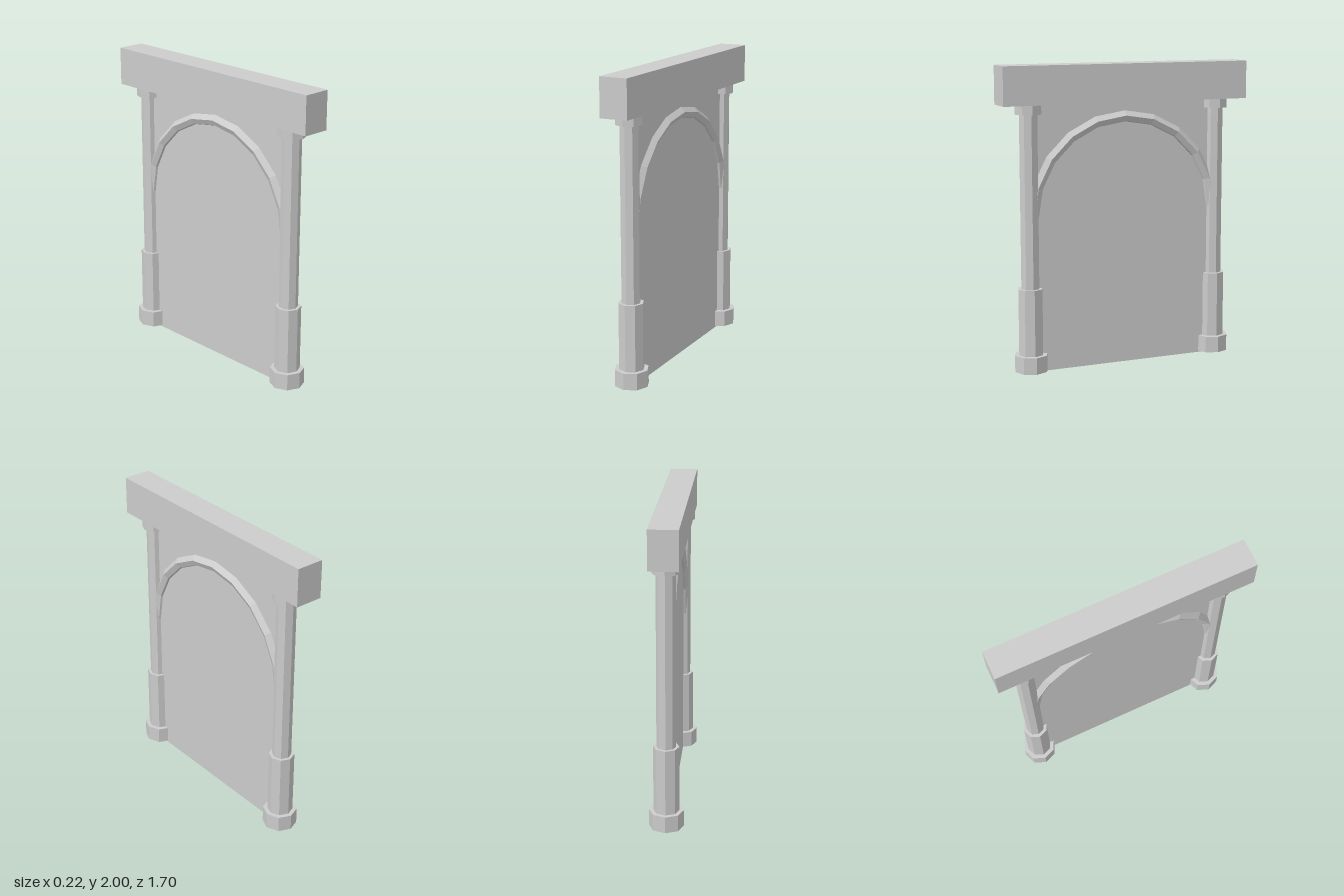
import * as THREE from 'three';

export function createModel() {
  const group = new THREE.Group();
  const material = new THREE.MeshStandardMaterial({ color: 0xcccccc, flatShading: true });

  function add(parent, name, geometry, x, y, z) {
    const mesh = new THREE.Mesh(geometry, material);
    mesh.name = name;
    mesh.position.set(x, y, z);
    parent.add(mesh);
  }

  // Lintel beam and thin wall panel
  add(group, 'lintel', new THREE.BoxGeometry(0.185, 0.25, 1.7), 0, 1.875, 0);
  add(group, 'wallPanel', new THREE.BoxGeometry(0.034, 1.75, 1.3), 0, 0.875, 0);

  // Octagonal columns: name, radius, bottom, top
  const sections = [
    ['base', 0.112, 0.01, 0.12],
    ['pedestal', 0.083, 0.12, 0.56],
    ['shaft', 0.062, 0.56, 1.69],
    ['capital', 0.089, 1.69, 1.75],
  ];
  for (const side of [1, -1]) {
    const column = new THREE.Group();
    column.name = side > 0 ? 'frontColumn' : 'backColumn';
    column.position.z = side * 0.657;
    for (const [name, r, y0, y1] of sections) {
      add(column, name, new THREE.CylinderGeometry(r, r, y1 - y0, 8), 0, (y0 + y1) / 2, 0);
    }
    group.add(column);
  }

  // Semicircular arch moulding, ridged on both faces of the wall
  const half = [[0.672, 0.017], [0.64, 0.047], [0.605, 0.03], [0.599, 0.015]];
  const profile = [
    ...half.map(([r, d]) => new THREE.Vector2(r, -d)).reverse(),
    ...half.map(([r, d]) => new THREE.Vector2(r, d)),
    new THREE.Vector2(half[3][0], -half[3][1]),
  ];
  const arch = new THREE.LatheGeometry(profile, 10, 0, Math.PI).rotateZ(Math.PI / 2);
  add(group, 'archMoulding', arch, 0, 1.02, 0);

  return group;
}
